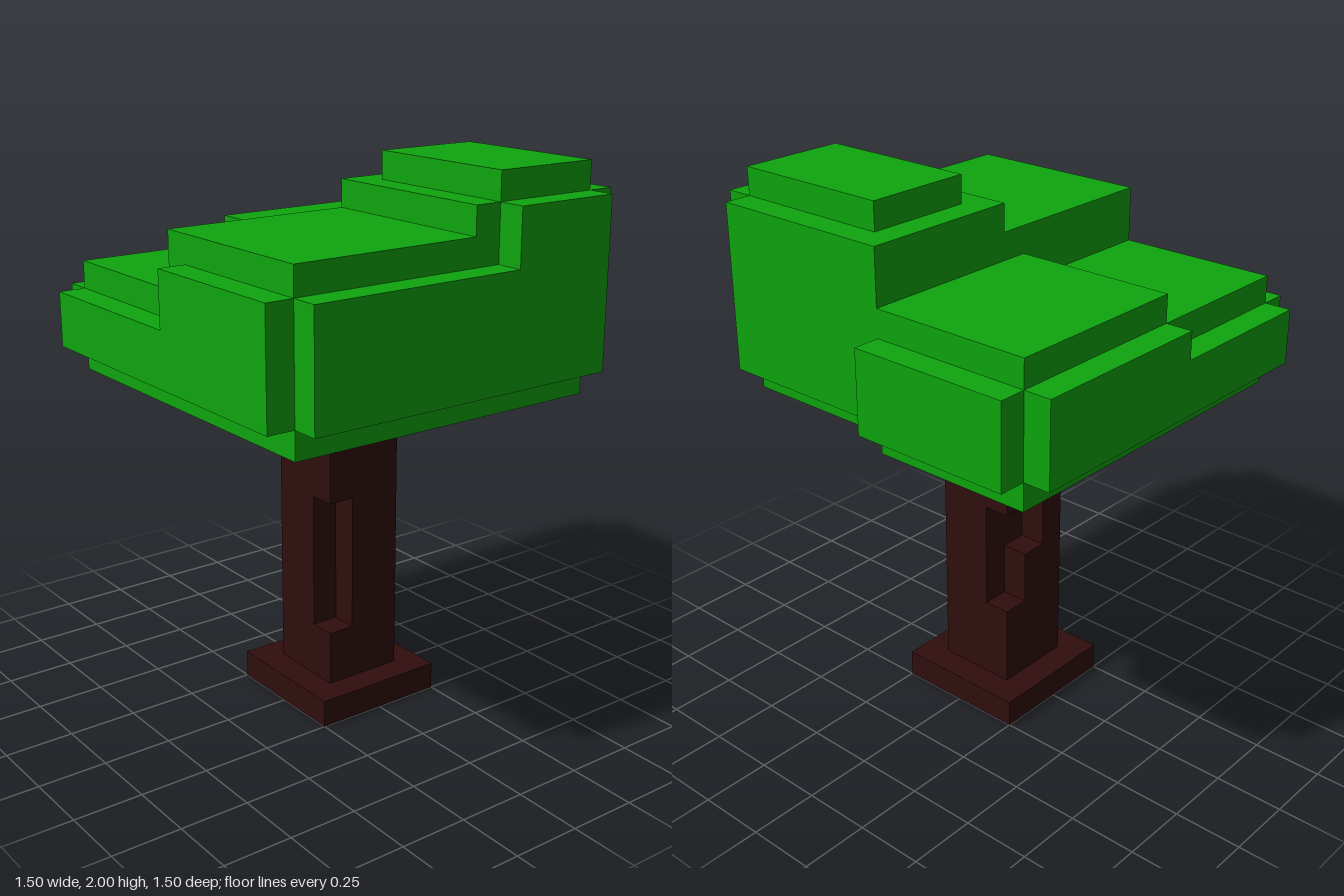
import * as THREE from 'three';

export function createModel() {
  const tree = new THREE.Group();
  tree.name = 'blockTree';
  const bark = new THREE.MeshStandardMaterial({ color: 0x300d0d, flatShading: true });
  const leaf = new THREE.MeshStandardMaterial({ color: 0x0ea50e, flatShading: true });

  // Box from its x, y and z limits
  function block(parent, name, material, [x0, x1], [y0, y1], [z0, z1]) {
    const geo = new THREE.BoxGeometry(x1 - x0, y1 - y0, z1 - z0);
    geo.translate((x0 + x1) / 2, (y0 + y1) / 2, (z0 + z1) / 2);
    const mesh = new THREE.Mesh(geo, material);
    mesh.name = name;
    parent.add(mesh);
  }

  // Trunk: foot plus stacked slices, each an outline in (x, z)
  const trunk = new THREE.Group();
  trunk.name = 'trunk';
  tree.add(trunk);
  block(trunk, 'foot', bark, [-0.25, 0.25], [0, 0.1], [-0.25, 0.25]);

  const a = 0.15, b = 0.05;
  const corner = {
    frontLeft: [[a, a]],
    frontLeftNotch: [[a, b], [b, b], [b, a]],
    frontRight: [[-a, a]],
    backRight: [[-a, -a]],
    backRightNotch: [[-a, -b], [-b, -b], [-b, -a]],
    backRightWideNotch: [[-a, b], [-b, b], [-b, -a]],
    backLeft: [[a, -a]],
  };
  const slices = [
    [0.1, 0.3, 'frontLeft', 'backRight'],
    [0.3, 0.4, 'frontLeftNotch', 'backRight'],
    [0.4, 0.6, 'frontLeftNotch', 'backRightNotch'],
    [0.6, 0.8, 'frontLeftNotch', 'backRightWideNotch'],
    [0.8, 1.2, 'frontLeft', 'backRight'],
  ];
  for (const [y0, y1, front, back] of slices) {
    const outline = [...corner[front], ...corner.frontRight, ...corner[back], ...corner.backLeft];
    const shape = new THREE.Shape(outline.map(([x, z]) => new THREE.Vector2(x, -z)));
    const geo = new THREE.ExtrudeGeometry(shape, { depth: y1 - y0, bevelEnabled: false });
    geo.rotateX(-Math.PI / 2).translate(0, y0, 0);
    const mesh = new THREE.Mesh(geo, bark);
    mesh.name = 'trunkSlice';
    trunk.add(mesh);
  }

  // Canopy: four clumps of different height, each a core with thinner plates
  const clumps = {
    frontLeftClump: [
      ['core', [-0.05, 0.65], [1.2, 1.8], [-0.05, 0.65]],
      ['frontPlate', [0.05, 0.65], [1.3, 1.7], [0.65, 0.75]],
      ['sidePlate', [0.65, 0.75], [1.3, 1.7], [-0.15, 0.65]],
    ],
    backLeftClump: [
      ['core', [-0.05, 0.65], [1.2, 1.9], [-0.55, -0.05]],
      ['topPlate', [0.05, 0.65], [1.9, 2.0], [-0.55, -0.15]],
      ['backPlate', [-0.05, 0.65], [1.3, 1.9], [-0.65, -0.55]],
      ['sidePlate', [0.65, 0.75], [1.3, 1.9], [-0.55, -0.15]],
    ],
    frontRightClump: [
      ['core', [-0.65, -0.05], [1.2, 1.6], [0.05, 0.65]],
      ['frontPlate', [-0.65, 0.05], [1.3, 1.5], [0.65, 0.75]],
      ['sidePlate', [-0.75, -0.65], [1.3, 1.5], [0.05, 0.65]],
    ],
    backRightClump: [
      ['core', [-0.65, -0.05], [1.2, 1.7], [-0.65, 0.05]],
      ['backPlate', [-0.65, -0.05], [1.3, 1.6], [-0.75, -0.65]],
      ['sidePlate', [-0.75, -0.65], [1.3, 1.6], [-0.65, 0.05]],
    ],
  };
  for (const [name, parts] of Object.entries(clumps)) {
    const clump = new THREE.Group();
    clump.name = name;
    tree.add(clump);
    for (const [part, x, y, z] of parts) block(clump, part, leaf, x, y, z);
  }
  return tree;
}
